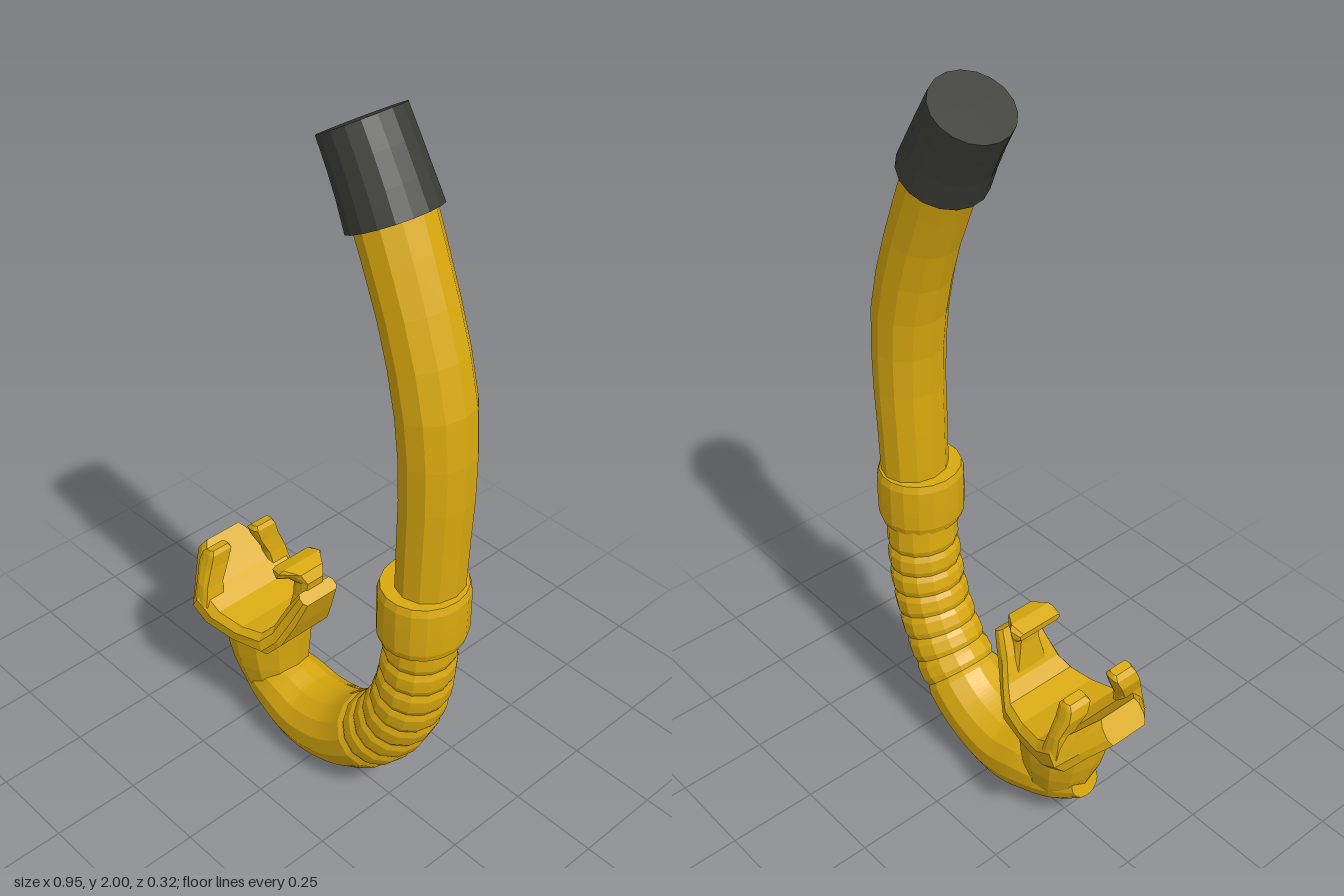
import * as THREE from 'three';

// Skin a list of equal-length rings, close both ends, and facet the result
function loft(rings) {
  const pos = [], m = rings[0].length;
  const tri = (...pts) => pts.forEach((p) => pos.push(p.x, p.y, p.z));
  for (let i = 0; i < rings.length - 1; i++) {
    for (let j = 0; j < m; j++) {
      const k = (j + 1) % m, a = rings[i], b = rings[i + 1];
      tri(a[j], b[j], b[k]);
      tri(a[j], b[k], a[k]);
    }
  }
  const centre = (r) => r.reduce((s, p) => s.add(p), new THREE.Vector3()).divideScalar(m);
  const first = rings[0], last = rings[rings.length - 1];
  const c0 = centre(first), c1 = centre(last);
  for (let j = 0; j < m; j++) {
    const k = (j + 1) % m;
    tri(c0, first[j], first[k]);
    tri(c1, last[k], last[j]);
  }
  const g = new THREE.BufferGeometry();
  g.setAttribute('position', new THREE.Float32BufferAttribute(pos, 3));
  g.computeVertexNormals();
  return g;
}

// Round tube in the xy plane; points are [x, y, radius], zScale widens it in z
function sweep(points, samples, sides, zScale, ripple = () => 1, zOff = 0) {
  const curve = new THREE.CatmullRomCurve3(points.map((p) => new THREE.Vector3(...p)));
  const rings = [];
  for (let i = 0; i <= samples; i++) {
    const u = i / samples, c = curve.getPointAt(u), t = curve.getTangentAt(u);
    const len = Math.hypot(t.x, t.y), nx = t.y / len, ny = -t.x / len;
    const r = c.z * ripple(i, u), ring = [];
    for (let j = 0; j < sides; j++) {
      const a = (j / sides) * Math.PI * 2, d = r * Math.cos(a);
      ring.push(new THREE.Vector3(c.x + nx * d, c.y + ny * d, zOff + r * zScale * Math.sin(a)));
    }
    rings.push(ring);
  }
  return loft(rings);
}

// Chamfered strip; stations are [ax, ay, bx, by, halfWidth, zCentre],
// with a on the right-hand side of the direction of travel
const CHAMFER = [[1, 0.86], [0.45, 1], [-0.45, 1], [-1, 0.88], [-1, -0.88], [-0.45, -1], [0.45, -1], [1, -0.86]];
function strip(stations) {
  return loft(stations.map(([ax, ay, bx, by, w, zc = 0]) =>
    CHAMFER.map(([s, v]) => new THREE.Vector3(
      (ax + bx) / 2 + (s * (ax - bx)) / 2,
      (ay + by) / 2 + (s * (ay - by)) / 2,
      zc + v * w))));
}

export function createModel() {
  const model = new THREE.Group();
  model.name = 'snorkel';
  const yellow = new THREE.MeshStandardMaterial({ color: 0xd9a90f });
  yellow.name = 'yellow';
  const charcoal = new THREE.MeshStandardMaterial({ color: 0x3b3c37 });
  charcoal.name = 'charcoal';
  const add = (name, geometry, material = yellow, parent = model) => {
    const mesh = new THREE.Mesh(geometry, material);
    mesh.name = name;
    parent.add(mesh);
  };

  // Upper barrel, bending back towards the top
  add('upperTube', sweep([
    [0.364, 0.75, 0.083], [0.368, 0.95, 0.085], [0.372, 1.18, 0.088],
    [0.354, 1.36, 0.091], [0.295, 1.56, 0.089], [0.2, 1.79, 0.09],
  ], 9, 12, 1.13));

  // Dark end cap
  add('topCap', sweep([
    [0.212, 1.758, 0.112], [0.165, 1.85, 0.106], [0.106, 1.951, 0.103],
  ], 3, 18, 1.04), charcoal);

  // Collar joining barrel and hose, with bevelled rims
  add('collar', sweep([
    [0.358, 0.68, 0.112], [0.358, 0.76, 0.113], [0.358, 0.842, 0.112],
  ], 8, 18, 1.07, (i) => (i === 0 || i === 8 ? 0.95 : 1), 0.012));

  // Flexible hose: shallow grooves along the ribbed stretch
  add('hose', sweep([
    [0.347, 0.74, 0.088], [0.343, 0.62, 0.094], [0.328, 0.49, 0.098], [0.29, 0.365, 0.1],
    [0.215, 0.24, 0.104], [0.1, 0.145, 0.107], [-0.04, 0.109, 0.108],
    [-0.15, 0.13, 0.1], [-0.24, 0.145, 0.08], [-0.325, 0.168, 0.043],
  ], 64, 14, 1.07, (i, u) => (u > 0.07 && u < 0.56 && i % 4 === 0 ? 0.93 : 1)));

  const mouthpiece = new THREE.Group();
  mouthpiece.name = 'mouthpiece';
  model.add(mouthpiece);

  // Neck rising from the hose
  add('neck', sweep([
    [-0.215, 0.12, 0.085], [-0.228, 0.2, 0.108], [-0.237, 0.28, 0.121], [-0.24, 0.36, 0.128],
  ], 5, 12, 0.98), yellow, mouthpiece);

  // Curved lip flange, widest near the outer side
  add('flange', strip([
    [-0.475, 0.465, -0.43, 0.525, 0.065],
    [-0.43, 0.415, -0.385, 0.475, 0.115],
    [-0.388, 0.36, -0.343, 0.432, 0.162],
    [-0.34, 0.328, -0.288, 0.397, 0.157],
    [-0.24, 0.315, -0.21, 0.385, 0.14],
    [-0.13, 0.325, -0.145, 0.395, 0.122],
    [-0.092, 0.37, -0.115, 0.43, 0.1],
    [-0.055, 0.45, -0.088, 0.495, 0.078],
    [-0.02, 0.54, -0.052, 0.562, 0.06],
  ]), yellow, mouthpiece);

  // Pair of bite pegs on the outer side
  for (const s of [1, -1]) {
    add(s > 0 ? 'bitePegFront' : 'bitePegBack', strip([
      [-0.32, 0.4, -0.375, 0.4, 0.035, s * 0.125],
      [-0.33, 0.455, -0.372, 0.465, 0.033, s * 0.115],
      [-0.335, 0.51, -0.385, 0.515, 0.036, s * 0.092],
      [-0.335, 0.55, -0.38, 0.545, 0.037, s * 0.08],
      [-0.343, 0.562, -0.368, 0.558, 0.03, s * 0.08],
    ]), yellow, mouthpiece);
  }

  // Hooked bite tab on the inner side
  add('biteTab', strip([
    [-0.07, 0.44, -0.11, 0.44, 0.055],
    [-0.055, 0.52, -0.1, 0.525, 0.035],
    [-0.045, 0.585, -0.1, 0.565, 0.032],
    [-0.06, 0.612, -0.112, 0.572, 0.045],
    [-0.1, 0.619, -0.125, 0.576, 0.075],
    [-0.14, 0.608, -0.138, 0.588, 0.068],
  ]), yellow, mouthpiece);

  return model;
}
